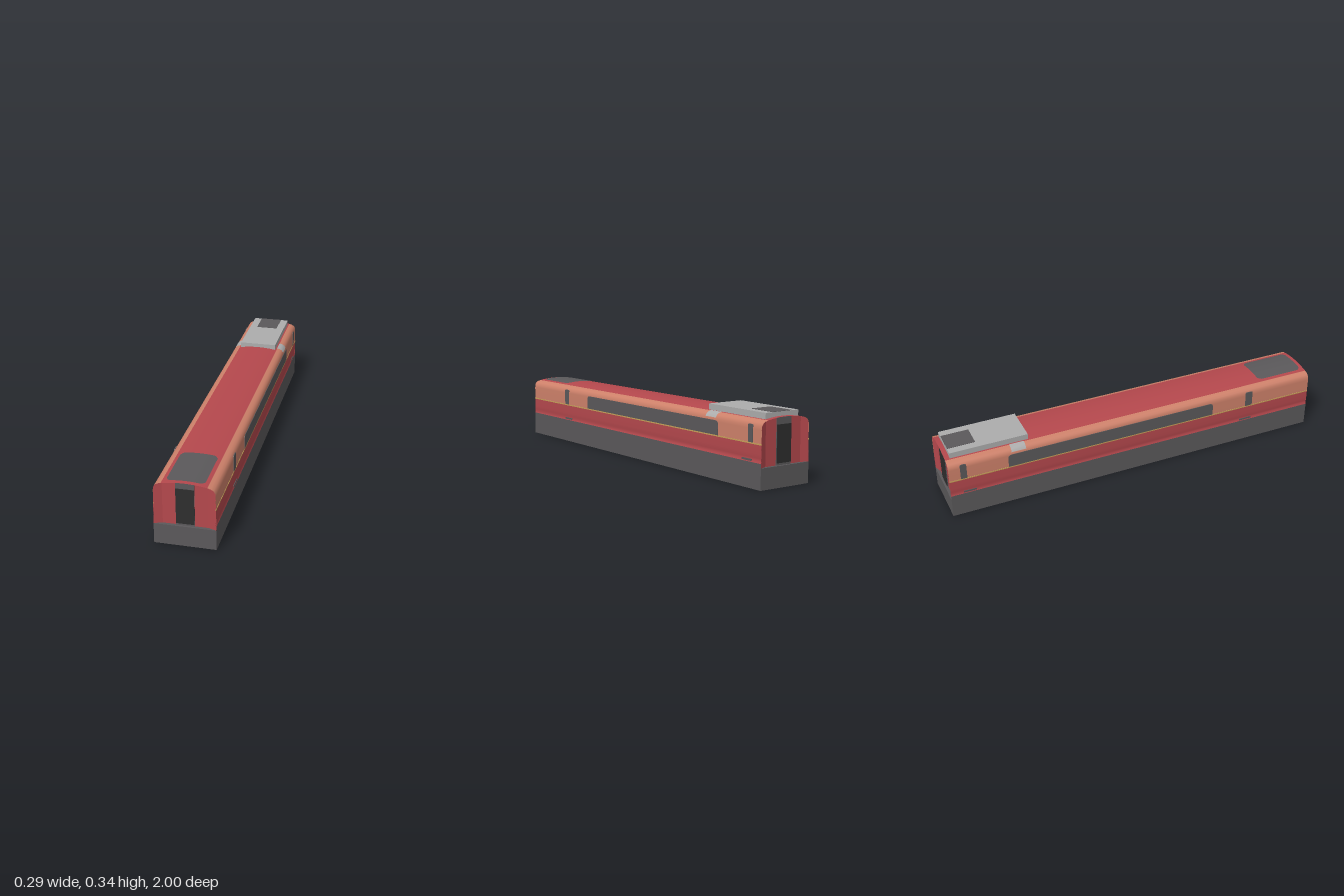
import * as THREE from 'three';

const mat = (name, color) => new THREE.MeshStandardMaterial({ name, color, side: THREE.DoubleSide });

// Surface spanned between two matching edges of [x, y, z] points
function loft(a, b) {
  const geo = new THREE.BufferGeometry();
  const index = [];
  const n = a.length;
  for (let i = 0; i < n - 1; i++) index.push(i, i + 1, n + i, i + 1, n + i + 1, n + i);
  geo.setAttribute('position', new THREE.Float32BufferAttribute([...a, ...b].flat(), 3));
  geo.setIndex(index);
  geo.computeVertexNormals();
  return geo;
}

// Cross-section run along z; inset(i) trims both ends at each profile point
function sheet(points, z0, z1, lift = 0, inset = () => 0) {
  return loft(
    points.map(([x, y], i) => [x, y + lift, z0 + inset(i)]),
    points.map(([x, y], i) => [x, y + lift, z1 - inset(i)])
  );
}

const mirrored = (points) => points.map(([x, y]) => [-x, y]).reverse();
const roofY = (x) => 0.32 - 0.9 * x * x;

function roofArc(half, steps) {
  const pts = [];
  for (let i = 0; i <= steps; i++) {
    const x = half - (2 * half * i) / steps;
    pts.push([x, roofY(x)]);
  }
  return pts;
}

// Thin rounded plate facing +x, spanning z0..z1 and y0..y1
function sidePlate(z0, z1, y0, y1, r) {
  const s = new THREE.Shape();
  s.moveTo(z0, y0);
  s.lineTo(z1, y0);
  s.lineTo(z1, y1 - r);
  s.quadraticCurveTo(z1, y1, z1 - r, y1);
  s.lineTo(z0 + r, y1);
  s.quadraticCurveTo(z0, y1, z0, y1 - r);
  s.closePath();
  const geo = new THREE.ExtrudeGeometry(s, { depth: 0.004, bevelEnabled: false, curveSegments: 5 });
  // shape x runs toward -z after the turn, so callers pass negated z
  return geo.rotateY(Math.PI / 2);
}

export function createModel() {
  const model = new THREE.Group();
  model.name = 'railCoach';
  const red = mat('red', 0xb5484d);
  const orange = mat('salmon', 0xce816a);
  const dark = mat('darkGrey', 0x5b595b);
  const black = mat('black', 0x2e2e2e);
  const light = mat('lightGrey', 0xadadad);
  const gold = mat('gold', 0xc9a25a);

  const add = (parent, name, geo, material) => {
    const mesh = new THREE.Mesh(geo, material);
    mesh.name = name;
    parent.add(mesh);
    return mesh;
  };

  // Body cross-section, from the skirt up to the roof
  const lower = [[0.144, 0.12], [0.14, 0.13], [0.1415, 0.142], [0.143, 0.16], [0.142, 0.205]];
  const shoulder = [[0.1415, 0.27], [0.14, 0.286], [0.132, 0.299], [0.12, 0.306], [0.105, roofY(0.105)]];
  const upper = [[0.142, 0.205], ...shoulder];

  add(model, 'roof', sheet(roofArc(0.105, 16), -1, 1), red);

  // Roof panel with rounded corners
  const trims = [0.02, 0.006, 0];
  add(model, 'roofPanel', sheet(roofArc(0.088, 20), 0.72, 0.98, 0.002,
    (i) => trims[Math.min(i, 20 - i)] ?? 0), dark);

  // Equipment housing on the rear of the roof
  const hs = new THREE.Shape();
  hs.moveTo(-0.098, 0.34);
  mirrored(roofArc(0.098, 12)).reverse().forEach(([x, y]) => hs.lineTo(x, y));
  hs.lineTo(0.098, 0.34);
  hs.closePath();
  const housing = new THREE.ExtrudeGeometry(hs, { depth: 0.395, bevelEnabled: false });
  housing.translate(0, 0, -0.975);
  add(model, 'roofHousing', housing, light);
  const grille = new THREE.BoxGeometry(0.115, 0.002, 0.14);
  grille.translate(0, 0.3405, -0.904);
  add(model, 'roofGrille', grille, dark);

  // Sides
  for (const side of [1, -1]) {
    const g = new THREE.Group();
    g.name = side > 0 ? 'leftSide' : 'rightSide';
    model.add(g);
    const run = (pts) => (side > 0 ? pts : mirrored(pts));
    add(g, 'lowerPanel', sheet(run(lower), -1, 1), red);
    add(g, 'upperPanel', sheet(run(upper), -1, 1), orange);
    add(g, 'skirt', sheet(run([[0.144, 0], [0.144, 0.12]]), -1, 1), dark);
    add(g, 'shoulderVent', sheet(run(shoulder.slice(1)), -0.68, -0.605, 0.002), light);

    const trim = new THREE.BoxGeometry(0.003, 0.006, 2);
    trim.translate(side * 0.142, 0.205, 0);
    add(g, 'trimLine', trim, gold);

    const plates = [
      ['windowBand', -0.7, 0.42, 0.208, 0.276, 0.02],
      ['frontDoorWindow', 0.615, 0.655, 0.208, 0.29, 0.008],
      ['rearDoorWindow', -0.942, -0.91, 0.208, 0.29, 0.008],
      ['frontStep', 0.585, 0.655, 0.124, 0.133, 0.002],
      ['rearStep', -0.935, -0.87, 0.124, 0.133, 0.002],
    ];
    for (const [name, z0, z1, y0, y1, r] of plates) {
      const geo = sidePlate(-z1, -z0, y0, y1, r);
      geo.translate(side > 0 ? 0.1395 : -0.1435, 0, 0);
      add(g, name, geo, dark);
    }
  }

  // Ends, with angled outer panels and a central gangway door
  for (const end of [1, -1]) {
    const g = new THREE.Group();
    g.name = end > 0 ? 'frontEnd' : 'rearEnd';
    if (end < 0) g.rotation.y = Math.PI;
    model.add(g);

    const deep = 0.985;
    const zAt = (x) => deep + (Math.max(0, Math.abs(x) - 0.105) / 0.039) * (1 - deep);
    const panel = (pts) => loft(
      pts.map(([x, y]) => [y < 0.28 ? Math.sign(x) * 0.144 : x, 0.1, zAt(x)]),
      pts.map(([x, y]) => [x, y, zAt(x)])
    );
    add(g, 'centrePanel', panel(mirrored(roofArc(0.105, 16)).reverse().sort((p, q) => p[0] - q[0])), red);
    add(g, 'rightCorner', panel(mirrored(shoulder).sort((p, q) => p[0] - q[0])), red);
    add(g, 'leftCorner', panel([...shoulder].reverse()), red);
    add(g, 'endSkirt', loft([[-0.144, 0, 1], [0.144, 0, 1]], [[-0.144, 0.1, 1], [0.144, 0.1, 1]]), dark);
    add(g, 'skirtLedge', loft([[-0.144, 0.1, 1], [0.144, 0.1, 1]],
      [[-0.105, 0.1, deep], [0.105, 0.1, deep]]), dark);

    const frame = new THREE.BoxGeometry(0.086, 0.217, 0.006);
    frame.translate(0, 0.2085, deep + 0.001);
    add(g, 'doorFrame', frame, dark);
    const door = new THREE.BoxGeometry(0.084, 0.175, 0.006);
    door.translate(0, 0.1975, deep + 0.004);
    add(g, 'gangwayDoor', door, black);
  }

  return model;
}
